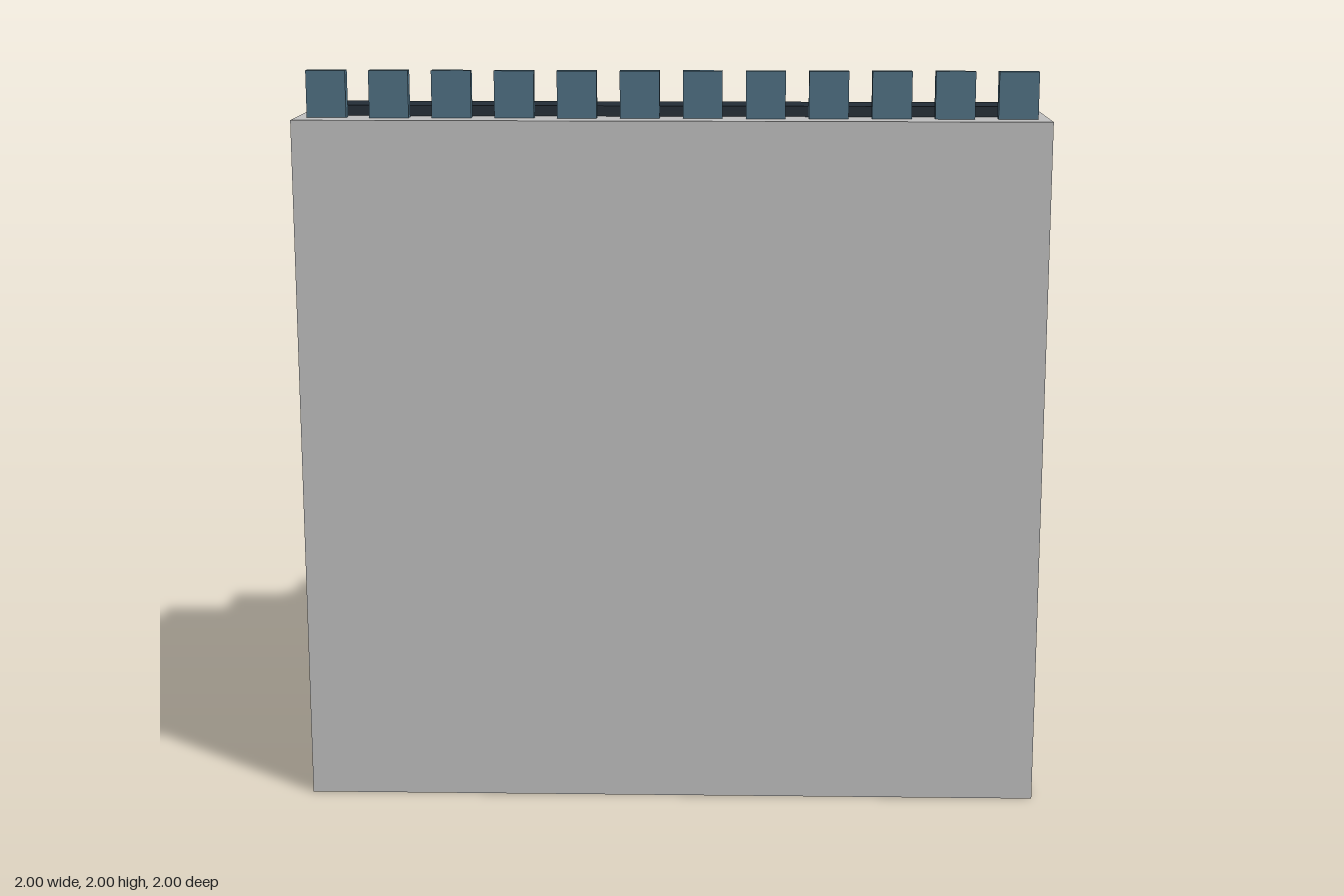
import * as THREE from 'three';

const TIERS = 6, SEATS = 12;
const RUN = 2 / TIERS, RISE = 1.875 / TIERS;

export function createModel() {
  const group = new THREE.Group();
  group.name = 'grandstand';
  const material = (name, color) => {
    const m = new THREE.MeshStandardMaterial({ color });
    m.name = name;
    return m;
  };
  const concrete = material('concrete', 0xbebebe);
  const benchDark = material('bench dark', 0x232d36);
  const seatBlue = material('seat blue', 0x4e6f82);
  const railGrey = material('rail grey', 0xa39e99);

  const add = (name, geometry, mat, x = 0, y = 0, z = 0) => {
    const mesh = new THREE.Mesh(geometry, mat);
    mesh.name = name;
    mesh.position.set(x, y, z);
    group.add(mesh);
    return mesh;
  };

  // Solid stepped base: side profile in (z, y), extruded across x
  const profile = new THREE.Shape();
  profile.moveTo(-1, 0);
  for (let i = 0; i < TIERS; i++) {
    profile.lineTo(-1 + i * RUN, (i + 1) * RISE);
    profile.lineTo(-1 + (i + 1) * RUN, (i + 1) * RISE);
  }
  profile.lineTo(1, 0);
  const base = new THREE.ExtrudeGeometry(profile, { depth: 2, bevelEnabled: false });
  base.translate(0, 0, -1).rotateY(-Math.PI / 2);
  add('steppedBase', base, concrete);

  // A long bench and a row of seat backs on every tier
  const bench = new THREE.BoxGeometry(1.93, 0.028, 0.133);
  const back = new THREE.BoxGeometry(0.105, 0.125, 0.032);
  for (let i = 0; i < TIERS; i++) {
    const y = (i + 1) * RISE;
    const z = -1 + i * RUN;
    add('bench', bench, benchDark, 0, y + 0.014, z + 0.138);
    for (let j = 0; j < SEATS; j++) {
      const x = (j - (SEATS - 1) / 2) * (2 / SEATS);
      add('seatBack', back, seatBlue, x, y + 0.0625, z + 0.248);
    }
  }

  // One sloping handrail along each side, passing through the steps
  const low = new THREE.Vector3(0, 0.3, -0.915);
  const high = new THREE.Vector3(0, 1.76, 0.78);
  const dir = high.clone().sub(low);
  const rail = new THREE.CylinderGeometry(0.011, 0.011, dir.length(), 12);
  const middle = low.clone().add(high).multiplyScalar(0.5);
  for (const side of [-1, 1]) {
    const mesh = add('handrail', rail, railGrey, side * 0.982, middle.y, middle.z);
    mesh.quaternion.setFromUnitVectors(new THREE.Vector3(0, 1, 0), dir.clone().normalize());
  }
  return group;
}
